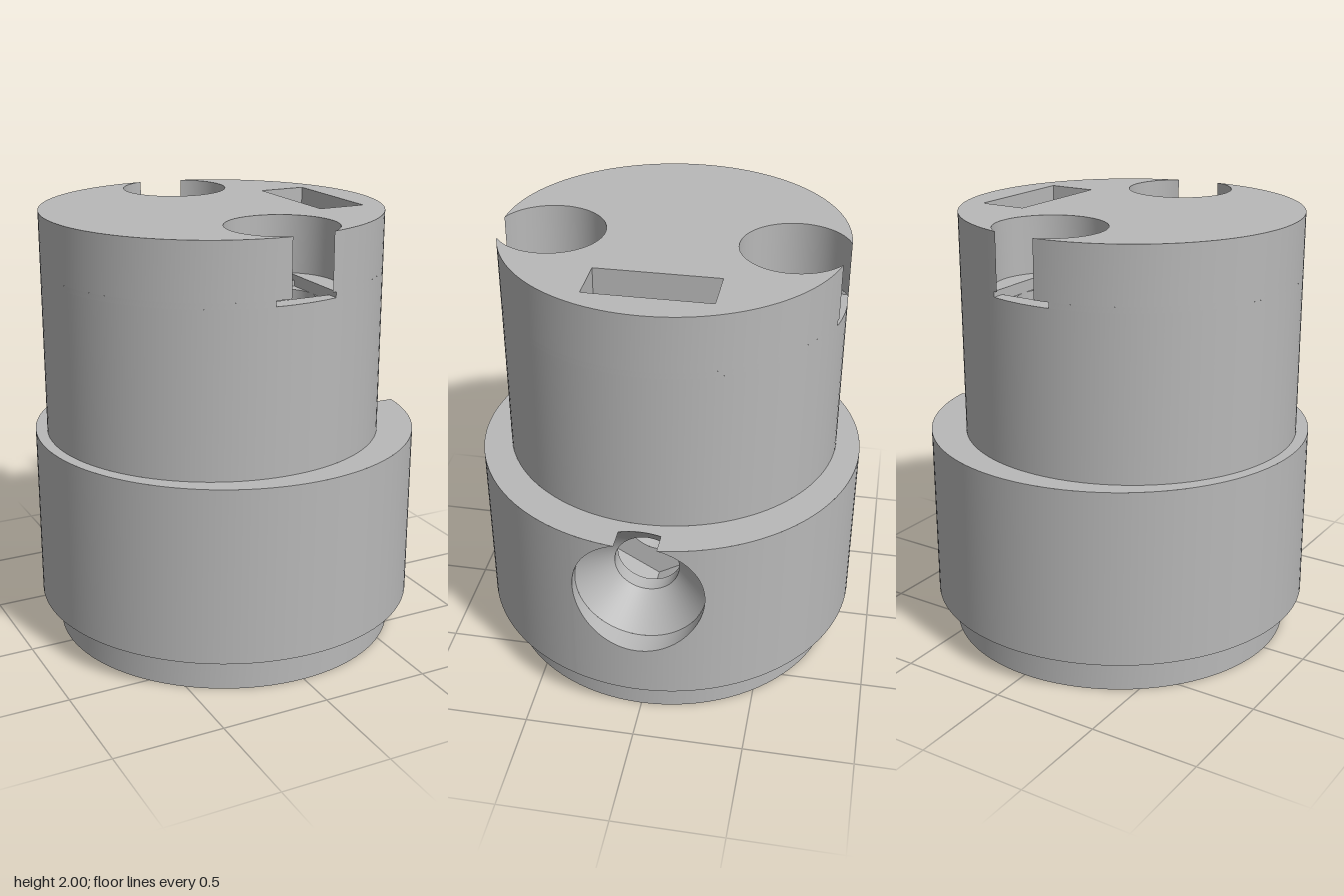
import * as THREE from 'three';
import { toCreasedNormals } from 'three/addons/utils/BufferGeometryUtils.js';

export function createModel() {
  const model = new THREE.Group();
  const grey = new THREE.MeshStandardMaterial({ color: 0xb8b8b8, side: THREE.DoubleSide });
  grey.name = 'plain grey';

  const PI = Math.PI;
  const baseR = 0.8, bodyR = 0.885, upR = 0.7725, upX = -0.0625; // upper drum is eccentric
  const yBase = 0.17, yBody = 0.98, yTop = 2;
  const boreR = 0.21, boreTop = 1.5;
  const holeR = 0.147, holeZ = 0.54, sinkR = 0.245; // vertical bolt holes
  const ySink = 1.745, ySlot = 1.72, ySquare = 1.695;
  const screwY = 0.7, mouthR = 0.295, mouthX = 0.78; // side screw hole
  const nutX0 = 0.34, nutX1 = 0.56;

  // ---- helpers ----
  function add(parent, name, geometry) {
    const mesh = new THREE.Mesh(toCreasedNormals(geometry, 0.5), grey);
    mesh.name = name;
    parent.add(mesh);
  }
  const steps = (n, f) => Array.from({ length: n + 1 }, (_, i) => f(i / n));
  const arc = (cx, cz, r, a0, a1, n = 64) => steps(n, t => {
    const a = a0 + (a1 - a0) * t;
    return [cx + r * Math.cos(a), cz + r * Math.sin(a)];
  });
  const circle = (cx, cz, r, n = 96) => arc(cx, cz, r, 0, 2 * PI, n);
  const at = (pts, y) => pts.map(([x, z]) => [x, y, z]);
  // surface between two lists of 3D points
  function loft(a, b) {
    const geo = new THREE.BufferGeometry(), index = [], n = a.length;
    for (let i = 0; i < n - 1; i++) index.push(i, n + i, i + 1, i + 1, n + i, n + i + 1);
    geo.setAttribute('position', new THREE.Float32BufferAttribute([...a, ...b].flat(), 3));
    geo.setIndex(index);
    return geo;
  }
  const wall = (pts, y0, y1) => loft(at(pts, y0), at(pts, y1));
  const flat = (outline, holes) => {
    const v = pts => pts.slice(0, -1).map(p => new THREE.Vector2(...p));
    const shape = new THREE.Shape(v(outline));
    holes.forEach(h => shape.holes.push(new THREE.Path(v(h))));
    return new THREE.ShapeGeometry(shape);
  };
  const close = pts => [...pts, pts[0]];
  const cap = (outline, holes, y) => flat(outline, holes).rotateX(PI / 2).translate(0, y, 0);
  // upright cylinder wall pierced on its +x side by a horizontal round hole
  function piercedWall(parent, name, cx, R, r, y0, y1) {
    const a = Math.asin(r / R);
    add(parent, name, wall(arc(cx, 0, R, a, 2 * PI - a, 128), y0, y1));
    const edge = f => steps(40, t => {
      const k = (t - 0.5) * PI, z = r * Math.sin(k);
      return [cx + Math.sqrt(R * R - z * z), f(r * Math.cos(k)), z];
    });
    add(parent, name + 'BelowHole', loft(edge(() => y0), edge(h => screwY - h)));
    add(parent, name + 'AboveHole', loft(edge(h => Math.min(screwY + h, y1)), edge(() => y1)));
  }

  // ---- base with bore, bolt holes and arc groove ----
  const bore = circle(upX, 0, boreR);
  const bolt = s => circle(0, s * holeZ, holeR);
  const groove = close([...arc(0, 0, 0.39, -PI / 2, PI / 2), ...arc(0, 0, 0.3, PI / 2, -PI / 2)]);
  add(model, 'bottomFace', cap(circle(0, 0, baseR), [bore, bolt(1), bolt(-1), groove], 0));
  add(model, 'baseWall', wall(circle(0, 0, baseR), 0, yBase));
  add(model, 'grooveWall', wall(groove, 0, 0.09));
  add(model, 'grooveCeiling', cap(groove, [], 0.09));
  piercedWall(model, 'boreWall', upX, boreR, holeR, 0, boreTop);
  add(model, 'boreCeiling', cap(bore, [], boreTop));

  // ---- wide body ----
  add(model, 'bodyUnderside', cap(circle(0, 0, bodyR), [circle(0, 0, baseR)], yBase));
  piercedWall(model, 'bodyWall', 0, bodyR, mouthR, yBase, yBody);
  const rise = yBody - screwY;
  const notch = Math.sqrt(mouthR ** 2 - rise ** 2), notchA = Math.asin(notch / bodyR);
  const notchEdge = steps(12, t => {
    const z = notch * (2 * t - 1);
    return [mouthX - mouthR + Math.hypot(rise, z), z];
  });
  const bodyTop = close([...arc(0, 0, bodyR, notchA, 2 * PI - notchA, 128), ...notchEdge]);
  add(model, 'bodyShoulder', cap(bodyTop, [circle(upX, 0, upR)], yBody));

  // ---- side screw hole: recess, cone, shank ----
  const ring = (a0, a1, f) => steps(72, t => {
    const a = a0 + (a1 - a0) * t, [x, r] = f(a);
    return [x, screwY + r * Math.sin(a), r * Math.cos(a)];
  });
  const clip = Math.asin(rise / mouthR);
  add(model, 'screwRecess', loft(
    ring(PI - clip, 2 * PI + clip, a => [Math.sqrt(bodyR ** 2 - (mouthR * Math.cos(a)) ** 2), mouthR]),
    ring(PI - clip, 2 * PI + clip, () => [mouthX, mouthR])));
  const coneEnd = mouthX - mouthR + holeR;
  const shank = x => ring(0, 2 * PI, () => [x, holeR]);
  add(model, 'screwCone', loft(ring(0, 2 * PI, a => {
    const s = Math.sin(a), r = s > 0 ? Math.min(mouthR, rise / s) : mouthR;
    return [mouthX - mouthR + r, r];
  }), shank(coneEnd)));
  add(model, 'screwShank', loft(shank(coneEnd), shank(nutX1)));
  add(model, 'screwTip', loft(shank(nutX0),
    ring(0, 2 * PI, a => [upX + Math.sqrt(boreR ** 2 - (holeR * Math.cos(a)) ** 2), holeR])));

  // ---- nut pocket: slot from the top with a hexagonal floor ----
  const half = [[0.275, yTop], [0.275, screwY], [0.25, screwY], [0.25, screwY - 0.144]];
  const nut = [...half.map(([z, y]) => [-z, y]), [0, screwY - 0.289], ...half.slice().reverse()];
  const nutAt = x => nut.map(([z, y]) => [x, y, z]);
  add(model, 'nutPocketFloorAndEnds', loft(nutAt(nutX0), nutAt(nutX1)));
  for (const x of [nutX0, nutX1]) {
    add(model, 'nutPocketSide', flat(close(nut), [circle(0, screwY, holeR)]).rotateY(-PI / 2).translate(x, 0, 0));
  }

  // ---- upper drum, opened front and back by the bolt sinks ----
  const d = Math.hypot(upX, holeZ), beta = Math.atan2(holeZ, -upX);
  const gamma = Math.acos((upR ** 2 - d ** 2 - sinkR ** 2) / (2 * d * sinkR));
  const sinkArc = arc(0, holeZ, sinkR, beta - gamma, beta + gamma - 2 * PI);
  const xR = sinkArc[0][0], xL = sinkArc[64][0];
  const drumAngle = x => Math.acos((x - upX) / upR);
  const rightArc = x => arc(upX, 0, upR, -drumAngle(x), drumAngle(x));
  const leftArc = x => arc(upX, 0, upR, drumAngle(x), 2 * PI - drumAngle(x));
  add(model, 'drumWall', wall(circle(upX, 0, upR, 128), yBody, ySlot));
  for (const [r, l, y0, y1] of [[holeR, -holeR, ySlot, ySink], [xR, xL, ySink, yTop]]) {
    add(model, 'drumWallRight', wall(rightArc(r), y0, y1));
    add(model, 'drumWallLeft', wall(leftArc(l), y0, y1));
  }
  const nutMouth = close([[nutX0, -0.275], [nutX1, -0.275], [nutX1, 0.275], [nutX0, 0.275]]);
  const topOutline = close([...rightArc(xR), ...sinkArc, ...leftArc(xL),
    ...sinkArc.map(([x, z]) => [x, -z]).reverse()]);
  add(model, 'topFace', cap(topOutline, [nutMouth], yTop));

  // ---- bolt hole: sink, cross slot, square step, round shaft ----
  const front = new THREE.Group();
  front.name = 'frontBoltHole';
  add(front, 'sinkWall', wall(sinkArc, ySink, yTop));
  const chord = Math.acos(holeR / sinkR);
  for (const a of [0, PI]) {
    add(front, 'sinkFloor', cap(close(arc(0, holeZ, sinkR, a - chord, a + chord)), [], ySink));
  }
  const across = f => steps(32, t => {
    const x = holeR * (2 * t - 1);
    return [x, f(x)];
  });
  const sinkDz = x => Math.sqrt(sinkR ** 2 - x * x);
  const drumZ = x => Math.sqrt(upR ** 2 - (x - upX) ** 2);
  const slotEnd = across(() => holeZ - sinkR);
  const strip = (a, b, y) => loft(at(a, y), at(b, y));
  add(front, 'slotCeilingInner', strip(slotEnd, across(x => holeZ - sinkDz(x)), ySink));
  add(front, 'slotCeilingOuter', strip(across(x => holeZ + sinkDz(x)),
    across(x => Math.max(holeZ + sinkDz(x), drumZ(x))), ySink));
  add(front, 'slotFloorInner', strip(slotEnd, across(() => holeZ - holeR), ySlot));
  add(front, 'slotFloorOuter', strip(across(() => holeZ + holeR), across(drumZ), ySlot));
  add(front, 'slotWall', wall([[-holeR, drumZ(-holeR)], [-holeR, holeZ - sinkR],
    [holeR, holeZ - sinkR], [holeR, drumZ(holeR)]], ySlot, ySink));
  const square = close([[-1, -1], [1, -1], [1, 1], [-1, 1]].map(([x, z]) => [x * holeR, holeZ + z * holeR]));
  add(front, 'squareWall', wall(square, ySquare, ySlot));
  add(front, 'squareFloor', cap(square, [circle(0, holeZ, holeR - 0.0005)], ySquare));
  add(front, 'shaftWall', wall(bolt(1), 0, ySquare));
  const back = front.clone();
  back.name = 'backBoltHole';
  back.scale.z = -1;
  model.add(front, back);

  return model;
}
